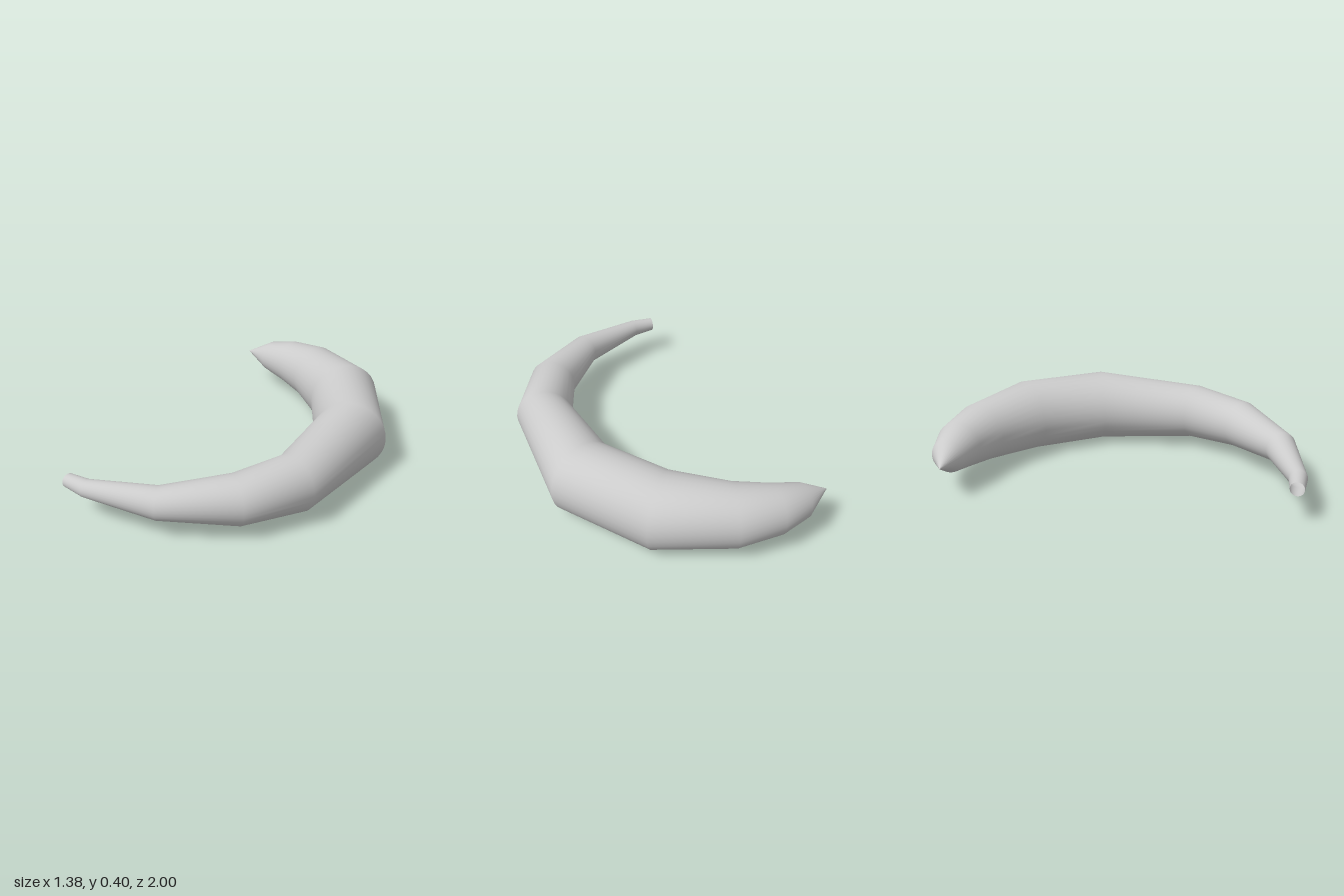
import * as THREE from 'three';

// Cross-sections from the pointed tip to the stem: outer x, z and inner x, z
const sections = [
  [-0.69, -0.80, -0.69, -0.80],
  [-0.55, -0.93, -0.53, -0.75],
  [-0.39, -0.99, -0.38, -0.73],
  [-0.15, -1.00, -0.21, -0.68],
  [0.27, -0.863, 0.04, -0.538],
  [0.635, -0.44, 0.28, -0.263],
  [0.686, 0.24, 0.385, 0.187],
  [0.535, 0.585, 0.31, 0.45],
  [0.21, 0.867, 0.113, 0.725],
  [-0.185, 0.995, -0.20, 0.90],
  [-0.315, 1.00, -0.315, 0.925],
];
const SIDES = 32;
const MID_HEIGHT = 0.203;

// Skin round rings, each standing upright across its outer-inner line
function hornGeometry() {
  const positions = [], index = [];
  sections.forEach(([ox, oz, ix, iz], i) => {
    const cx = (ox + ix) / 2, cz = (oz + iz) / 2;
    const ux = (ox - ix) / 2, uz = (oz - iz) / 2;
    const r = Math.hypot(ux, uz);
    for (let j = 0; j < SIDES; j++) {
      const a = (j / SIDES) * Math.PI * 2;
      positions.push(cx + ux * Math.cos(a), MID_HEIGHT + r * Math.sin(a), cz + uz * Math.cos(a));
      if (i === sections.length - 1) continue;
      const k = (j + 1) % SIDES;
      const p = i * SIDES + j, q = i * SIDES + k;
      if (i > 0) index.push(p, q, p + SIDES); // the tip ring is a point
      index.push(q, q + SIDES, p + SIDES);
    }
  });
  const geometry = new THREE.BufferGeometry();
  geometry.setAttribute('position', new THREE.Float32BufferAttribute(positions, 3));
  geometry.setIndex(index);
  geometry.computeVertexNormals();
  return geometry;
}

export function createModel() {
  const group = new THREE.Group();
  group.name = 'curvedHorn';
  // Tapered curved body, open at the stem end
  const material = new THREE.MeshStandardMaterial({ color: 0xcccccc, side: THREE.DoubleSide });
  const body = new THREE.Mesh(hornGeometry(), material);
  body.name = 'hornBody';
  group.add(body);
  return group;
}
